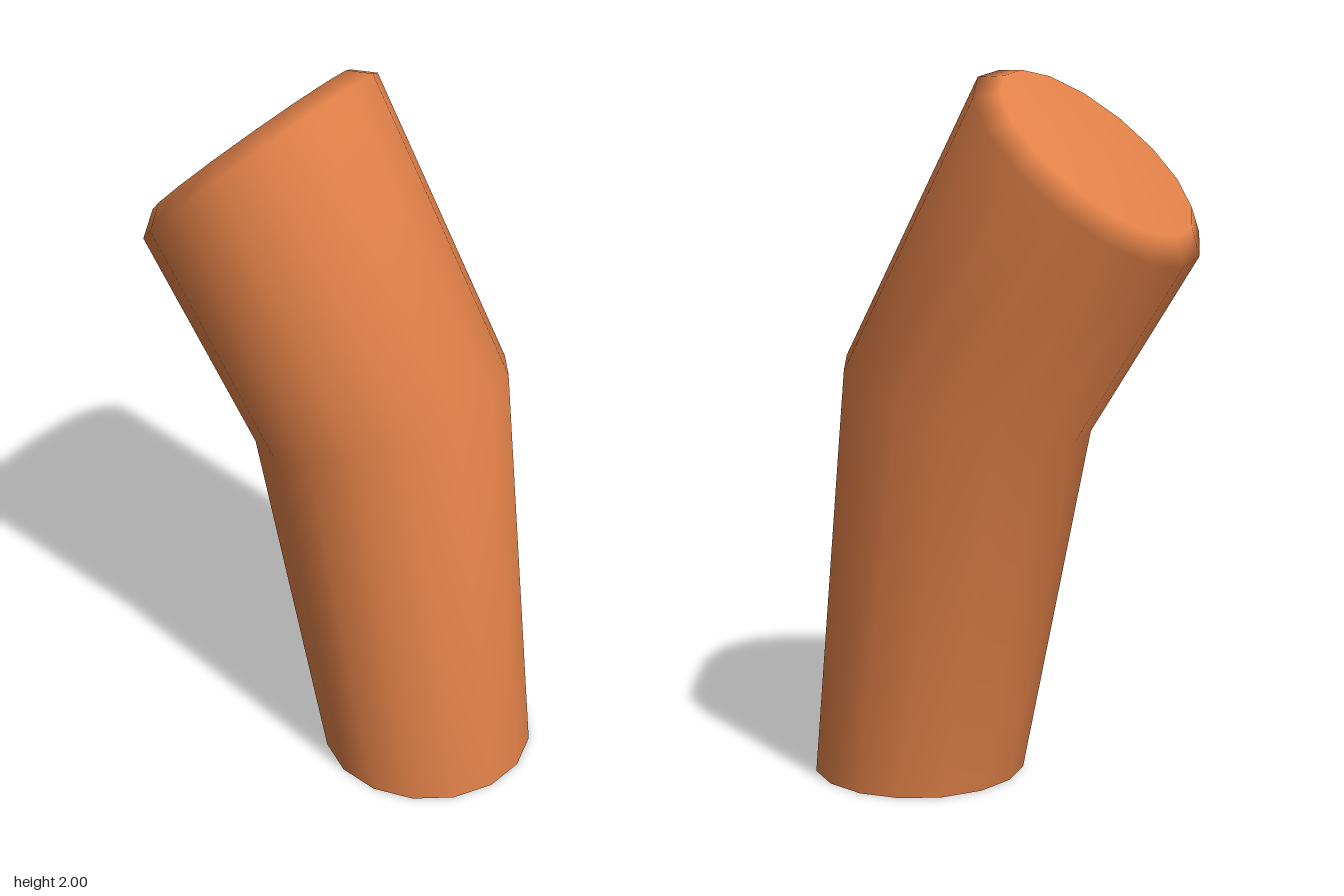
import * as THREE from 'three';

const SIDES = 16;

// Tilted elliptical cross-sections: centre (x, y), half axis (hx, hy) in the xy plane, half depth z
const SECTIONS = [
  { x: 0.26, y: 0, hx: 0.305, hy: 0, z: 0.31 },
  { x: 0.09, y: 1.11, hx: 0.34, hy: 0.11, z: 0.37 },
  { x: -0.288, y: 1.745, hx: 0.278, hy: 0.255, z: 0.385 },
  { x: -0.315, y: 1.785, hx: 0.235, hy: 0.215, z: 0.325 },
];

// Skins the sections into a smooth tube, open below and closed on top
function bentTube(sections) {
  const positions = [];
  const index = [];
  for (const s of sections) {
    for (let i = 0; i < SIDES; i++) {
      const a = (i / SIDES) * Math.PI * 2;
      positions.push(s.x + s.hx * Math.cos(a), s.y + s.hy * Math.cos(a), s.z * Math.sin(a));
    }
  }
  for (let r = 0; r < sections.length - 1; r++) {
    for (let i = 0; i < SIDES; i++) {
      const j = (i + 1) % SIDES;
      const a = r * SIDES + i, b = r * SIDES + j;
      index.push(a, a + SIDES, b, b, a + SIDES, b + SIDES);
    }
  }
  // End cap
  const last = sections[sections.length - 1];
  const rim = (sections.length - 1) * SIDES;
  const centre = positions.length / 3;
  positions.push(last.x, last.y, 0);
  for (let i = 0; i < SIDES; i++) index.push(rim + i, centre, rim + ((i + 1) % SIDES));

  const geometry = new THREE.BufferGeometry();
  geometry.setAttribute('position', new THREE.Float32BufferAttribute(positions, 3));
  geometry.setIndex(index);
  geometry.computeVertexNormals();
  return geometry;
}

export function createModel() {
  const orange = new THREE.MeshStandardMaterial({ color: 0xe08048, side: THREE.DoubleSide });
  orange.name = 'orange';

  const group = new THREE.Group();
  group.name = 'bentLimb';
  const limb = new THREE.Mesh(bentTube(SECTIONS), orange);
  limb.name = 'limb';
  group.add(limb);
  return group;
}
